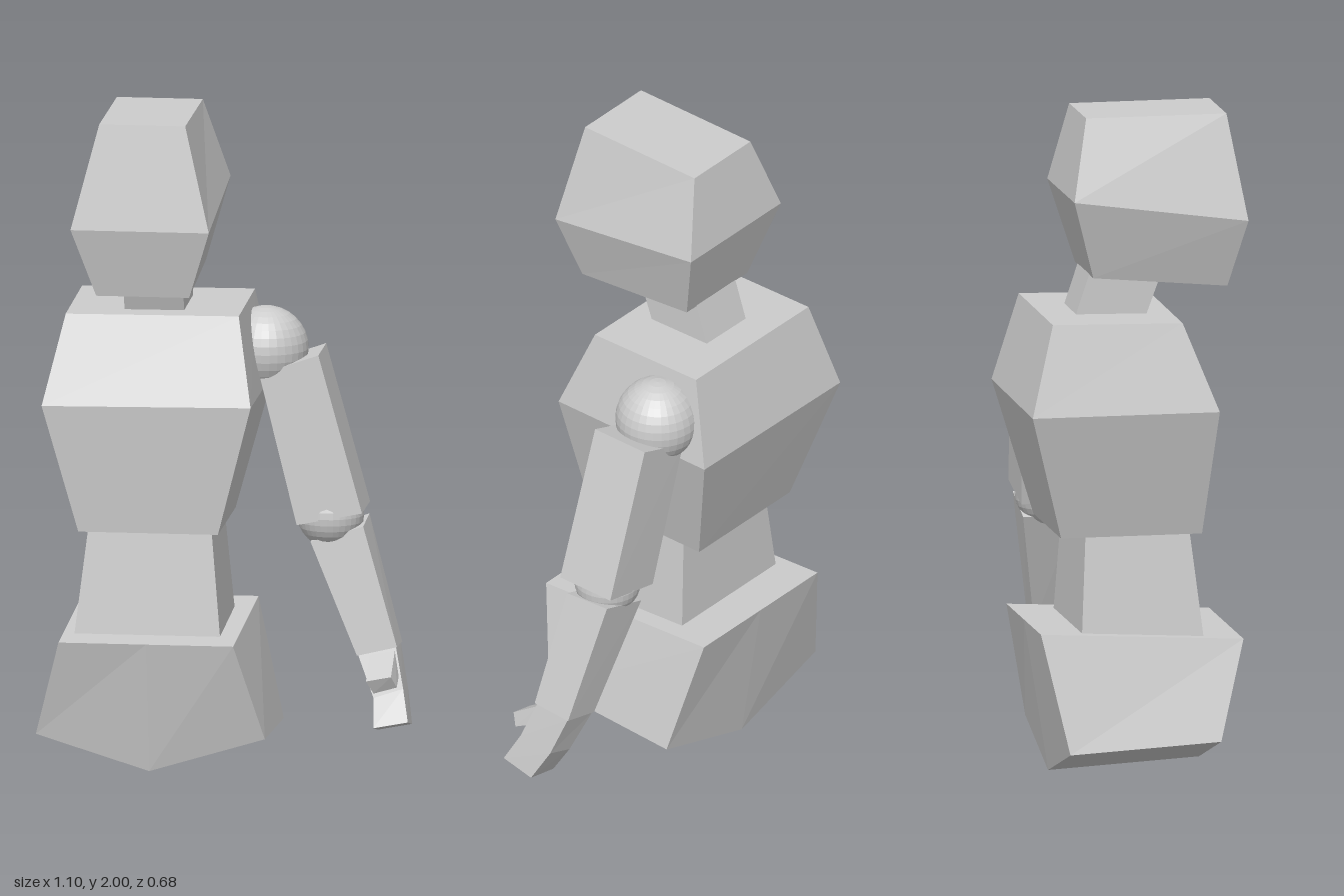
import * as THREE from 'three';

// Four-cornered cross-section, counter-clockwise from above.
// (x0,y0) right edge, (x1,y1) left edge, z front and back, backRise lifts the back corners.
function ring(x0, y0, x1, y1, zFront, zBack, backRise = 0) {
  return [
    [x0, y0, zFront], [x1, y1, zFront],
    [x1, y1 + backRise, zBack], [x0, y0 + backRise, zBack],
  ];
}

// Closed faceted solid through rings listed from bottom to top
function loft(rings) {
  const pos = [];
  const tri = (a, b, c) => pos.push(...a, ...b, ...c);
  const n = rings[0].length;
  for (let r = 0; r < rings.length - 1; r++) {
    const lo = rings[r], hi = rings[r + 1];
    for (let i = 0; i < n; i++) {
      const j = (i + 1) % n;
      tri(lo[i], lo[j], hi[j]);
      tri(lo[i], hi[j], hi[i]);
    }
  }
  const bottom = rings[0], top = rings[rings.length - 1];
  for (let i = 1; i < n - 1; i++) {
    tri(bottom[0], bottom[i + 1], bottom[i]);
    tri(top[0], top[i], top[i + 1]);
  }
  const geo = new THREE.BufferGeometry();
  geo.setAttribute('position', new THREE.Float32BufferAttribute(pos, 3));
  geo.computeVertexNormals();
  return geo;
}

// Six-cornered pelvis section: level sides with a centre point front and back
function pelvisRing(x0, xm, x1, zFront, zBack, yFront, yBack, drop) {
  return [
    [xm, yFront - drop, zFront], [x1, yFront, zFront], [x1, yBack, zBack],
    [xm, yBack - drop, zBack], [x0, yBack, zBack], [x0, yFront, zFront],
  ];
}

export function createModel() {
  const model = new THREE.Group();
  model.name = 'mannequin';
  const grey = new THREE.MeshStandardMaterial({ color: 0xcccccc });
  grey.name = 'light grey';
  grey.flatShading = true;

  const add = (name, geometry, parent = model) => {
    const mesh = new THREE.Mesh(geometry, grey);
    mesh.name = name;
    parent.add(mesh);
    return mesh;
  };

  // Pelvis with a keel along its underside
  add('pelvis', loft([
    pelvisRing(-0.55, -0.21, 0.137, 0.232, -0.226, 0.135, 0.11, 0.105),
    pelvisRing(-0.472, -0.21, 0.052, 0.315, -0.3, 0.43, 0.464, 0),
  ]));

  // Trunk
  add('waist', loft([
    ring(-0.44, 0.42, 0.0, 0.42, 0.202, -0.17),
    ring(-0.4, 0.76, -0.032, 0.76, 0.164, -0.15),
  ]));
  add('torso', loft([
    ring(-0.427, 0.745, -0.008, 0.745, 0.198, -0.23),
    ring(-0.533, 1.13, 0.094, 1.138, 0.231, -0.337),
    ring(-0.473, 1.392, 0.046, 1.396, 0.13, -0.264, 0.008),
  ]));
  add('neck', loft([
    ring(-0.306, 1.37, -0.127, 1.37, 0.045, -0.165, 0.015),
    ring(-0.306, 1.52, -0.127, 1.52, 0.1, -0.115, 0.015),
  ]));
  add('head', loft([
    ring(-0.362, 1.48, -0.083, 1.48, 0.288, -0.119, 0.037),
    ring(-0.433, 1.687, -0.018, 1.687, 0.338, -0.19, 0.073),
    ring(-0.353, 2, -0.095, 2, 0.287, -0.139),
  ]));

  // Left arm with ball joints
  const arm = new THREE.Group();
  arm.name = 'leftArm';
  model.add(arm);
  const joint = (name, radius, x, y, z) =>
    add(name, new THREE.SphereGeometry(radius, 32, 16), arm).position.set(x, y, z);
  joint('shoulderJoint', 0.127, 0.093, 1.247, -0.155);
  joint('elbowJoint', 0.1, 0.29, 0.753, -0.126);

  add('upperArm', loft([
    ring(0.2, 0.735, 0.396, 0.775, -0.03, -0.225),
    ring(0.085, 1.185, 0.262, 1.247, -0.053, -0.246),
  ]), arm);
  add('forearm', loft([
    ring(0.382, 0.345, 0.502, 0.374, -0.02, -0.15, -0.008),
    ring(0.238, 0.68, 0.396, 0.73, -0.058, -0.212, 0.01),
  ]), arm);
  add('hand', loft([
    ring(0.442, 0.143, 0.545, 0.163, 0.064, -0.042, -0.025),
    ring(0.436, 0.225, 0.525, 0.255, 0.015, -0.1, -0.015),
    ring(0.385, 0.345, 0.498, 0.374, -0.028, -0.146, -0.008),
  ]), arm);
  add('thumb', loft([
    ring(0.44, 0.245, 0.51, 0.265, 0.048, -0.035, 0.045),
    ring(0.42, 0.285, 0.495, 0.3, 0.068, -0.03, 0.065),
  ]), arm);

  return model;
}
